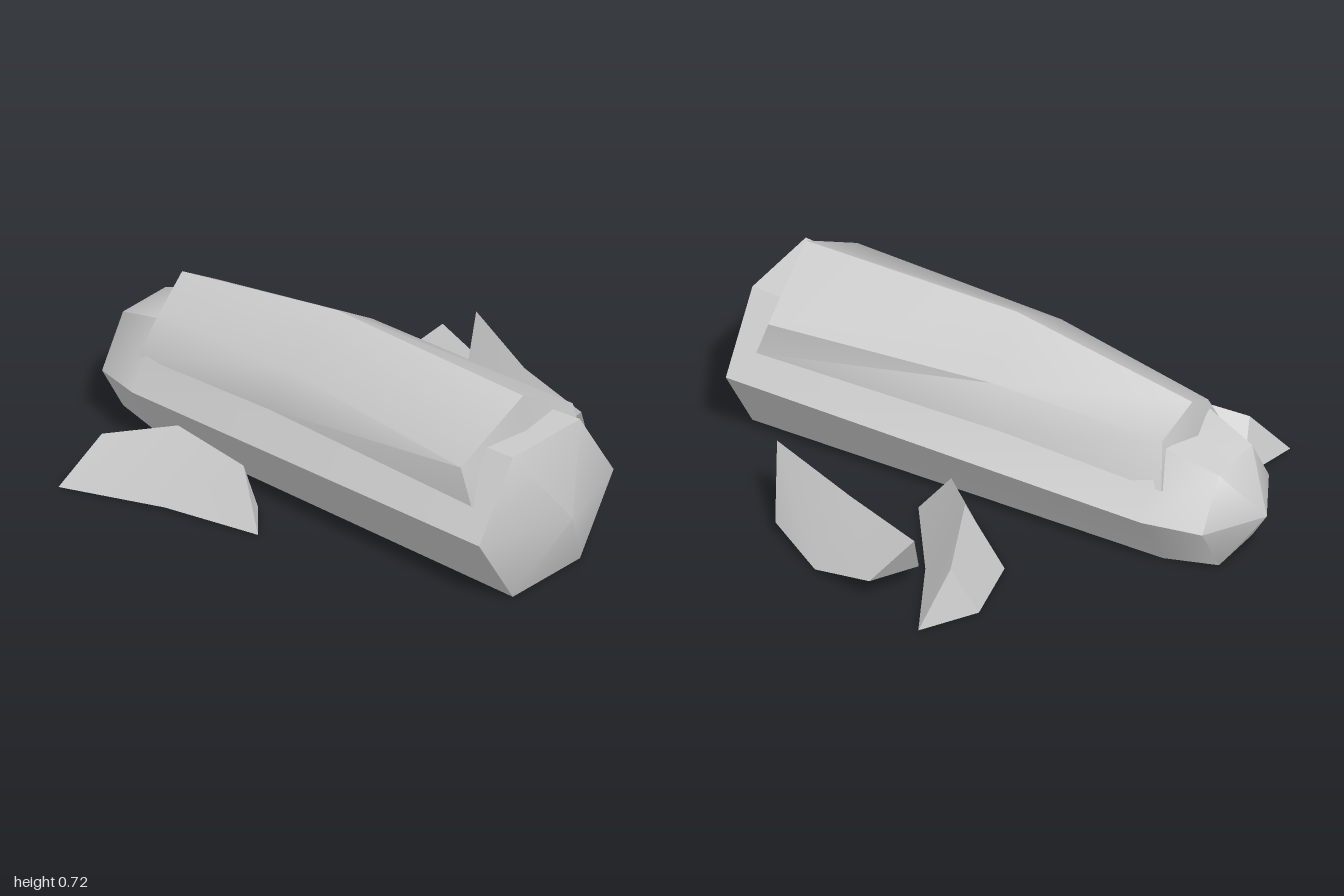
import * as THREE from 'three';
import { toCreasedNormals } from 'three/addons/utils/BufferGeometryUtils.js';

// Closed skin over a row of equal cross-sections; each end is a fan to a point.
function loft(rings, startTip, endTip, crease) {
  const n = rings[0].length, tris = [];
  const fan = (ring, tip, flip) => ring.forEach((p, i) => {
    const q = ring[(i + 1) % n];
    tris.push(flip ? [q, p, tip] : [p, q, tip]);
  });
  for (let r = 0; r < rings.length - 1; r++) {
    for (let i = 0; i < n; i++) {
      const j = (i + 1) % n, [a, b] = [rings[r], rings[r + 1]];
      tris.push([a[i], b[i], b[j]], [a[i], b[j], a[j]]);
    }
  }
  fan(rings[0], startTip, false);
  fan(rings[rings.length - 1], endTip, true);
  // Turn the skin outward
  const volume = tris.reduce((s, [a, b, c]) => s + a.dot(b.clone().cross(c)), 0);
  if (volume < 0) tris.forEach((t) => t.reverse());
  const geo = new THREE.BufferGeometry().setFromPoints(tris.flat());
  return toCreasedNormals(geo, crease);
}

const centre = (ring) => ring.reduce((s, p) => s.add(p), new THREE.Vector3()).divideScalar(ring.length);

// Log space: distance along the axis from the wide end, sideways offset, height
const onLog = (along, side, y) =>
  new THREE.Vector3(0.82 + 0.87 * along + 0.49 * side, y, 0.57 + 0.49 * along - 0.87 * side);

function hexagon(along, width, height, y) {
  return Array.from({ length: 6 }, (_, i) => {
    const t = (i * Math.PI) / 3;
    return onLog(along, width * Math.cos(t), y + height * Math.sin(t));
  });
}

export function createModel() {
  const model = new THREE.Group();
  const material = new THREE.MeshStandardMaterial({ color: 0xcccccc });
  const add = (name, geo) => {
    const mesh = new THREE.Mesh(geo, material);
    mesh.name = name;
    model.add(mesh);
  };

  // Six-sided log with blunt domed ends
  add('log', loft(
    [hexagon(0, 0.36, 0.33, 0.297), hexagon(-1.69, 0.3, 0.275, 0.245), hexagon(-1.9, 0.225, 0.222, 0.222)],
    onLog(0.125, 0, 0.3), onLog(-2.03, 0, 0.22), 0.8));

  // Thick crust draped over the top: [along, low edge, shoulder, ridge], each as [side, y]
  const crust = [
    { along: [-0.09, -0.14, -0.11], edge: [0.3, 0.4], shoulder: [0.3, 0.54], ridge: 0.715 },
    { along: [-1.08, -1.03, -0.99], edge: [0.265, 0.4], shoulder: [0.235, 0.57], ridge: 0.725 },
    { along: [-1.73, -1.69, -1.72], edge: [0.225, 0.35], shoulder: [0.155, 0.51], ridge: 0.6 },
  ].map(({ along: [a, b, c], edge, shoulder, ridge }) => [
    onLog(a, edge[0], edge[1]),
    onLog(b, shoulder[0], shoulder[1]),
    onLog(c, 0, ridge),
    onLog(b, -shoulder[0], shoulder[1]),
    onLog(a, -edge[0], edge[1]),
    onLog(a, 0, 0.3),
  ]);
  add('crust', loft(crust, onLog(-0.08, 0, 0.42), onLog(-1.76, 0, 0.38), 0.9));

  // Broken chips on the ground: long edge, ridge and short edge, three points each
  const chips = {
    frontChip: [
      [[-1, 0.01, 0.31], [-0.6, 0.015, 0.38], [-0.24, 0.01, 0.49]],
      [[-0.86, 0.2, 0.23], [-0.58, 0.28, 0.25], [-0.32, 0.21, 0.36]],
      [[-0.84, 0.01, 0.125], [-0.62, 0.01, 0.105], [-0.28, 0.01, 0.3]],
    ],
    backChip: [
      [[0.27, 0.01, -0.88], [0.26, 0.015, -0.5], [0.3, 0.01, -0.11]],
      [[0.16, 0.2, -0.77], [0.12, 0.28, -0.48], [0.18, 0.2, -0.2]],
      [[0.06, 0.01, -0.76], [-0.02, 0.01, -0.48], [0.09, 0.01, -0.2]],
    ],
    tippedChip: [
      [[0.8, 0.29, -0.12], [0.53, 0.265, -0.42], [0.29, 0.29, -0.73]],
      [[0.8, 0.05, -0.28], [0.65, 0.015, -0.52], [0.45, 0.1, -0.71]],
      [[0.62, 0.095, -0.17], [0.42, 0.01, -0.34], [0.28, 0.08, -0.58]],
    ],
  };
  for (const [name, edges] of Object.entries(chips)) {
    const rings = [0, 1, 2].map((i) => edges.map((e) => new THREE.Vector3(...e[i])));
    add(name, loft(rings, centre(rings[0]), centre(rings[2]), 0.3));
  }
  return model;
}
